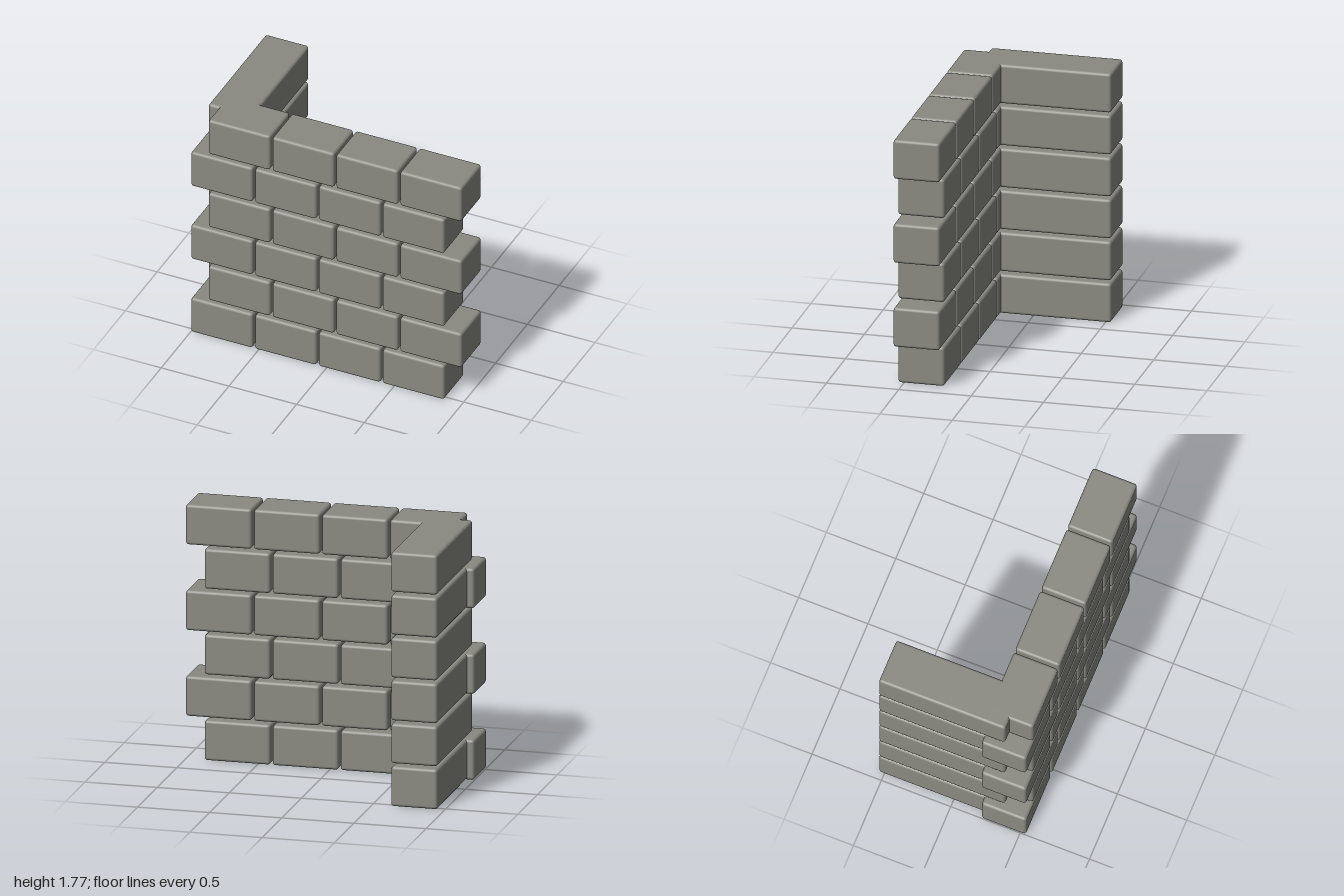
import * as THREE from 'three';
import { RoundedBoxGeometry } from 'three/addons/geometries/RoundedBoxGeometry.js';

const ROWS = 6, BRICKS_PER_ROW = 4;
const HEIGHT = 0.278, ROW_PITCH = 0.298;
const LENGTH = 0.455, BRICK_PITCH = 0.472, DEPTH = 0.32;
const ROW_SHIFT = 0.129, BEVEL = 0.02;

export function createModel() {
  const model = new THREE.Group();
  model.name = 'cornerBrickWall';
  const stone = new THREE.MeshStandardMaterial({ color: 0x8a8a82 });
  const frontBrick = new RoundedBoxGeometry(LENGTH, HEIGHT, DEPTH, 2, BEVEL);
  const returnBrick = new RoundedBoxGeometry(DEPTH, HEIGHT - 0.001, 0.91, 2, BEVEL);

  const addBrick = (parent, geometry, name, x, y, z) => {
    const brick = new THREE.Mesh(geometry, stone);
    brick.name = name;
    brick.position.set(x, y, z);
    parent.add(brick);
  };

  for (let row = 0; row < ROWS; row++) {
    const course = new THREE.Group();
    course.name = `course${row + 1}`;
    const y = HEIGHT / 2 + row * ROW_PITCH;

    // Front wall: every other course slides half a step to the side
    const startX = -1 + LENGTH / 2 + (row % 2) * ROW_SHIFT;
    for (let i = 0; i < BRICKS_PER_ROW; i++) {
      addBrick(course, frontBrick, `frontBrick${i + 1}`, startX + i * BRICK_PITCH, y, 0.38);
    }

    // Long brick running back from the corner
    addBrick(course, returnBrick, 'returnBrick', -0.79, y, -0.085);
    model.add(course);
  }
  return model;
}
